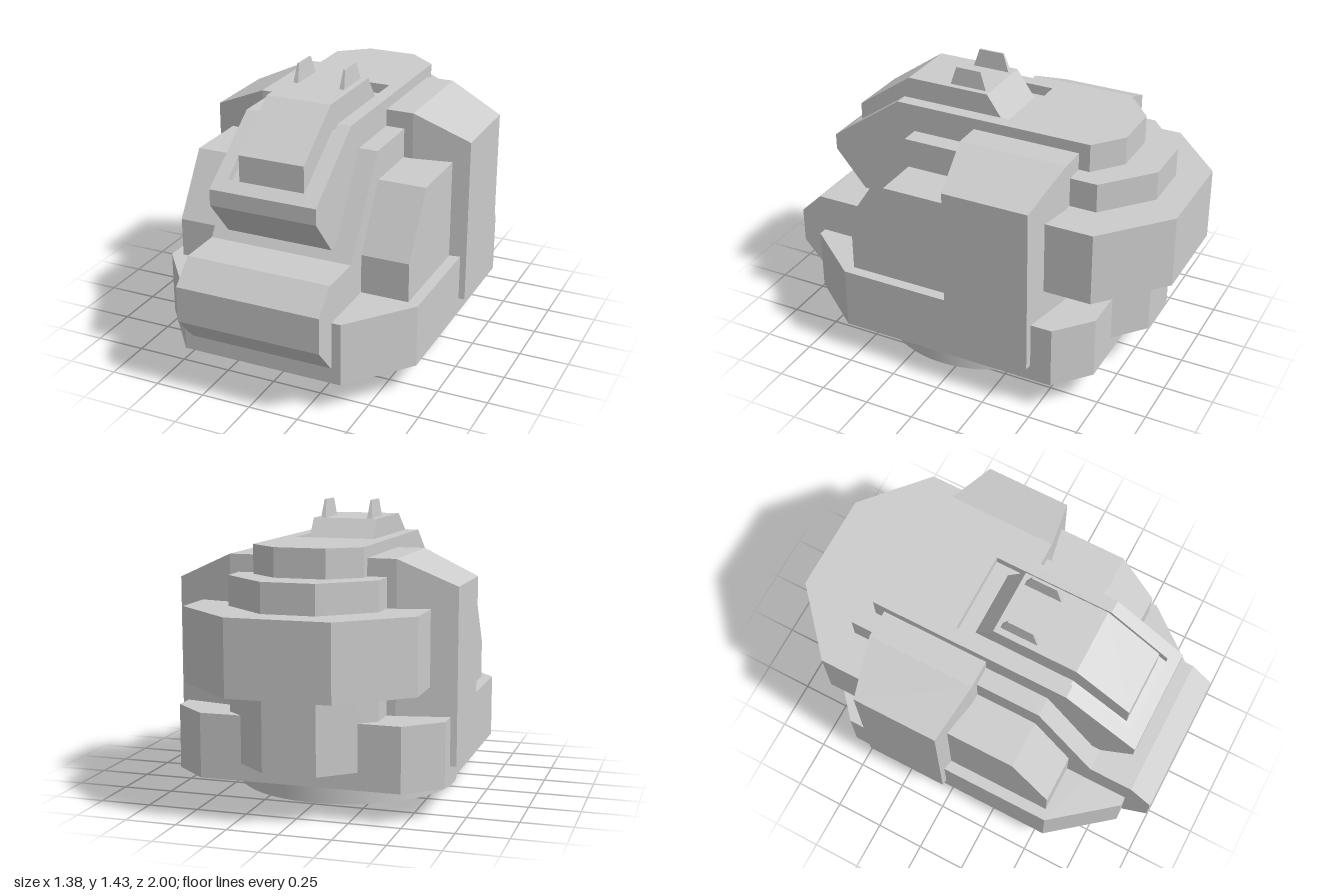
import * as THREE from 'three';
import { ConvexGeometry } from 'three/addons/geometries/ConvexGeometry.js';

const material = new THREE.MeshStandardMaterial({ color: 0xcccccc, flatShading: true });

function polygon(points) {
  return new THREE.Shape(points.map(([a, b]) => new THREE.Vector2(a, b)));
}

// Side profile of [z, y] points, extruded across from x0 to x1
function slab(points, x0, x1) {
  const geo = new THREE.ExtrudeGeometry(polygon(points), { depth: x1 - x0, bevelEnabled: false });
  return geo.rotateY(-Math.PI / 2).translate(x1, 0, 0);
}

// Half plan of [x, z] points, mirrored in x and extruded from y0 up to y1
function planBlock(half, y0, y1) {
  const mirrored = half.map(([x, z]) => [-x, z]).reverse();
  const points = [...half, ...mirrored].map(([x, z]) => [x, -z]);
  const geo = new THREE.ExtrudeGeometry(polygon(points), { depth: y1 - y0, bevelEnabled: false });
  return geo.rotateX(-Math.PI / 2).translate(0, y0, 0);
}

export function createModel() {
  const model = new THREE.Group();
  const add = (name, geometry, mat = material) => {
    const mesh = new THREE.Mesh(geometry, mat);
    mesh.name = name;
    model.add(mesh);
    return mesh;
  };

  // Open neck ring
  const ringMaterial = new THREE.MeshStandardMaterial({ color: 0xcccccc, side: THREE.DoubleSide });
  add('neckRing', new THREE.CylinderGeometry(0.563, 0.563, 0.15, 64, 1, true).translate(0, 0.075, 0.08), ringMaterial);

  // Wide collar with chamfered corners
  add('collar', planBlock([[0.41, 0.87], [0.66, 0.56], [0.66, -0.57], [0.49, -0.72]], 0.15, 0.465));

  // Central body with the projecting chin, and its chamfered back
  add('body', slab([
    [-0.5, 0.235], [0.88, 0.235], [1, 0.37], [1, 0.55], [0.885, 0.66],
    [0.66, 0.66], [0.36, 1.115], [-0.5, 1.115],
  ], -0.365, 0.365));
  add('bodyBack', planBlock([[0.365, -0.5], [0.365, -0.65], [0.13, -0.855]], 0.235, 1.115));

  // Cheeks, passing through the body
  add('cheeks', slab([[-0.3, 0.3], [0.54, 0.3], [0.54, 0.66], [0.345, 0.967], [-0.3, 0.967]], -0.605, 0.605));

  // Ear blocks, tapering outward with sloped tops
  const earPoints = [];
  for (const s of [-1, 1]) {
    for (const [x, top, front, back] of [[0.69, 1.075, -0.02, -0.457], [0.41, 1.2, 0.032, -0.515]]) {
      for (const y of [0.23, top]) {
        for (const z of [front, back]) earPoints.push(new THREE.Vector3(s * x, y, z));
      }
    }
  }
  add('ears', new ConvexGeometry(earPoints));

  // Pack across the back
  add('backPack', planBlock([[0.565, -0.48], [0.565, -0.72], [0.25, -1]], 0.605, 0.97));

  // Brow: two rails, a sunken middle and a chamfered back
  const underside = [[-0.16, 0.72], [0.665, 0.72], [0.825, 0.91], [0.825, 0.99]];
  const rail = [...underside, [0.45, 1.255], [-0.16, 1.255]];
  add('browRailLeft', slab(rail, 0.203, 0.27));
  add('browRailRight', slab(rail, -0.27, -0.203));
  add('browMiddle', slab([
    ...underside, [0.77, 1.029], [0.77, 0.98], [0.435, 1.205], [-0.16, 1.205],
  ], -0.203, 0.203));
  add('browBack', planBlock([[0.27, -0.16], [0.27, -0.57], [0.125, -0.69]], 0.72, 1.255));

  // Raised crest sitting in the recess
  add('crest', slab([
    [-0.08, 1.15], [0.3, 1.15], [0.73, 0.96], [0.73, 1.14], [0.445, 1.34], [0.015, 1.34], [-0.08, 1.205],
  ], -0.165, 0.165));

  // Two small fins, thinner toward the top
  const fin = slab([[0.035, 1.335], [0.23, 1.335], [0.2, 1.43], [0.07, 1.43]], -0.013, 0.013);
  const pos = fin.attributes.position;
  for (let i = 0; i < pos.count; i++) {
    if (pos.getY(i) > 1.4) pos.setX(i, pos.getX(i) * 0.35);
  }
  fin.computeVertexNormals();
  for (const s of [-1, 1]) {
    add(s > 0 ? 'finLeft' : 'finRight', fin).position.x = s * 0.121;
  }

  return model;
}
